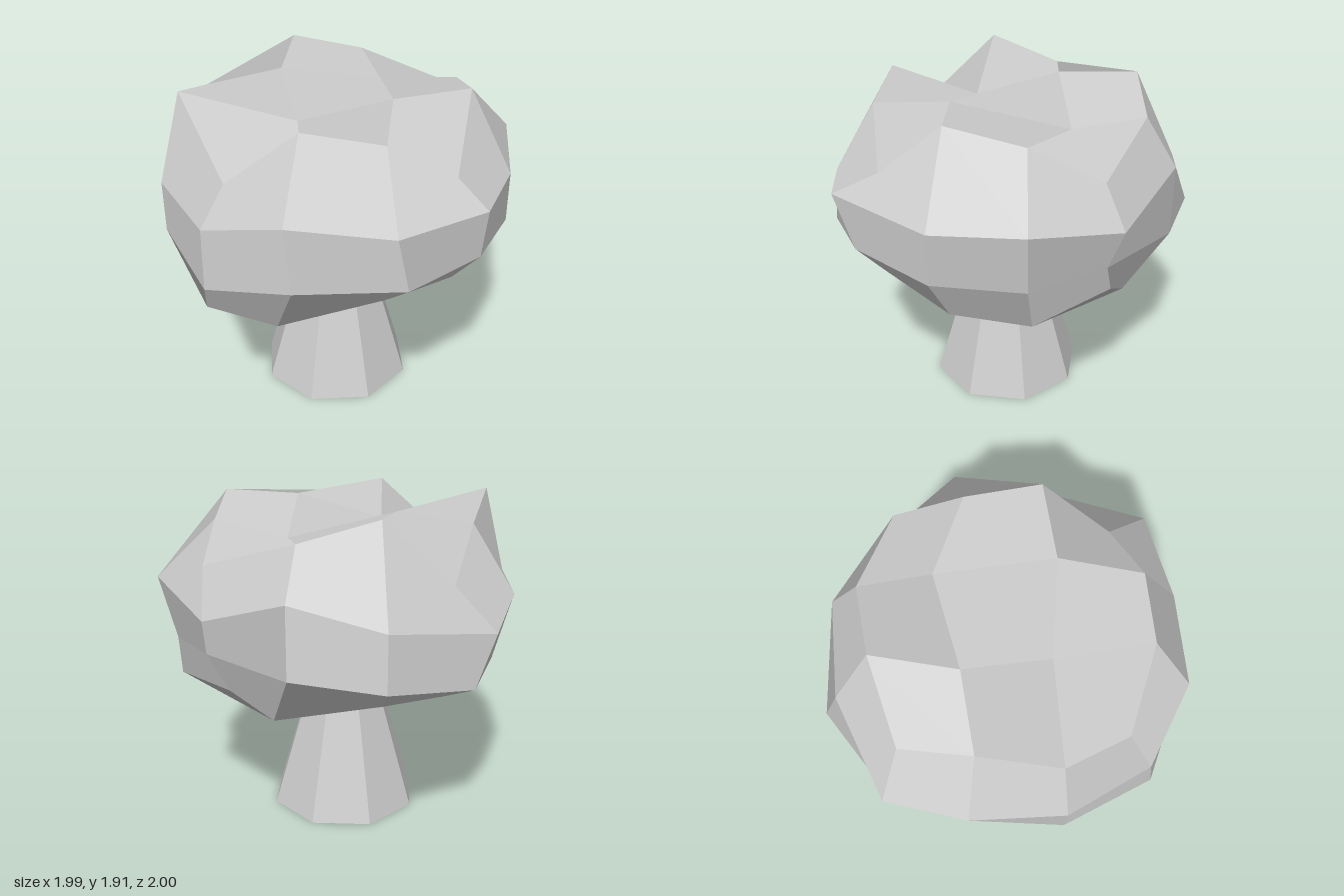
import * as THREE from 'three';

// Crown rings of 12 points, from the front right corner counter-clockwise seen from above
const rings = [
  [[-.76, .91, .76], [-.4, .745, .73], [.17, .91, .76], [.54, .97, .65], [.66, .79, .26], [.88, .91, -.22],
    [.54, .96, -.6], [.3, .815, -.66], [-.28, .91, -.66], [-.6, .95, -.6], [-.76, .835, -.2], [-.72, .86, .28]],
  [[-.76, 1.05, .81], [-.32, 1.12, .99], [.26, 1.12, 1], [.66, 1.16, .76], [.9, 1.12, .31], [.9, 1.12, -.2],
    [.66, 1.16, -.58], [.2, 1.14, -.9], [-.3, 1.12, -1], [-.76, 1.02, -.67], [-.9, 1.02, -.2], [-1, 1.12, .3]],
  [[-.76, 1.37, .76], [-.35, 1.49, .99], [.2, 1.41, .99], [.66, 1.48, .86], [.9, 1.41, .31], [.99, 1.48, -.21],
    [.66, 1.37, -.66], [.2, 1.54, -.9], [-.3, 1.4, -.9], [-.86, 1.33, -.66], [-1, 1.41, -.21], [-1, 1.41, .3]],
  [[-.64, 1.56, .64], [-.26, 1.88, .76], [.16, 1.8, .76], [.54, 1.56, .64], [.66, 1.89, .26], [.66, 1.8, -.16],
    [.66, 1.64, -.55], [.16, 1.8, -.73], [-.26, 1.91, -.66], [-.64, 1.55, -.56], [-.76, 1.79, -.16], [-.87, 1.91, .26]],
];
// Inner points of the two caps
const topInner = [[-.26, 1.73, .26], [.24, 1.86, .31], [-.34, 1.86, -.21], [.24, 1.74, -.34]];
const bottomInner = [[-.28, .86, .26], [.24, .88, .26], [-.28, .85, -.25], [.2, .9, -.2]];

const trunkX = -.05, trunkZ = .055, neckRadius = .222, neckY = .76;

// Adds a triangle or a bent quad (split from its first corner) with one flat normal
function addFace(out, ...corners) {
  const p = corners.map((c) => new THREE.Vector3(...c));
  const last = p[p.length - 1];
  const normal = p[2].clone().sub(p[0]).cross(last.clone().sub(p[1])).normalize();
  for (let k = 1; k < p.length - 1; k++) {
    for (const v of [p[0], p[k], p[k + 1]]) {
      out.position.push(...v);
      out.normal.push(...normal);
    }
  }
}

function toGeometry(out) {
  const geo = new THREE.BufferGeometry();
  geo.setAttribute('position', new THREE.Float32BufferAttribute(out.position, 3));
  geo.setAttribute('normal', new THREE.Float32BufferAttribute(out.normal, 3));
  return geo;
}

// 4 x 4 grid that closes a ring
function capGrid(r, c) {
  return [
    [r[0], r[1], r[2], r[3]],
    [r[11], c[0], c[1], r[4]],
    [r[10], c[2], c[3], r[5]],
    [r[9], r[8], r[7], r[6]],
  ];
}

// Fills a 4 x 4 grid; falling diagonals run the other way, and the centre may stay open
function addGrid(out, g, { falling = false, openCentre = false } = {}) {
  for (let i = 0; i < 3; i++) {
    for (let j = 0; j < 3; j++) {
      if (openCentre && i === 1 && j === 1) continue;
      const a = g[i][j], b = g[i][j + 1], c = g[i + 1][j + 1], d = g[i + 1][j];
      if (falling) addFace(out, b, c, d, a);
      else addFace(out, a, b, c, d);
    }
  }
}

function crownGeometry() {
  const out = { position: [], normal: [] };
  // Four sides, each spanning three ring segments
  for (let s = 0; s < 4; s++) {
    addGrid(out, rings.map((r) => [0, 1, 2, 3].map((k) => r[(s * 3 + k) % 12])), { falling: true });
  }
  addGrid(out, capGrid(rings[3], topInner));
  // Underside, open where the trunk joins
  addGrid(out, capGrid(rings[0], bottomInner).map((row) => row.reverse()), { openCentre: true });
  return toGeometry(out);
}

// Joins the eight-sided trunk top to the four-cornered opening of the crown
function flareGeometry() {
  const out = { position: [], normal: [] };
  const neck = (m) => {
    const t = Math.PI / 8 + m * Math.PI / 4;
    return [trunkX + neckRadius * Math.sin(t), neckY, trunkZ + neckRadius * Math.cos(t)];
  };
  const corner = (k) => bottomInner[[1, 3, 2, 0][k % 4]];
  for (let k = 0; k < 4; k++) {
    addFace(out, neck(2 * k), neck(2 * k + 1), corner(k));
    addFace(out, neck(2 * k + 1), neck(2 * k + 2), corner(k + 1), corner(k));
  }
  return toGeometry(out);
}

// Eight-sided trunk that narrows upwards, with a closed foot
function trunkGeometry() {
  const profile = [[0, 0], [.45, 0], [neckRadius, neckY]].map(([r, y]) => new THREE.Vector2(r, y));
  const geo = new THREE.LatheGeometry(profile, 8, Math.PI / 8).toNonIndexed();
  geo.computeVertexNormals();
  return geo;
}

export function createModel() {
  const grey = new THREE.MeshStandardMaterial({ color: 0xcccccc });
  grey.name = 'plain grey';

  const tree = new THREE.Group();
  tree.name = 'tree';
  const addPart = (name, geometry) => {
    const mesh = new THREE.Mesh(geometry, grey);
    mesh.name = name;
    tree.add(mesh);
    return mesh;
  };

  addPart('crown', crownGeometry());
  addPart('trunkFlare', flareGeometry());
  addPart('trunk', trunkGeometry()).position.set(trunkX, 0, trunkZ);
  return tree;
}
